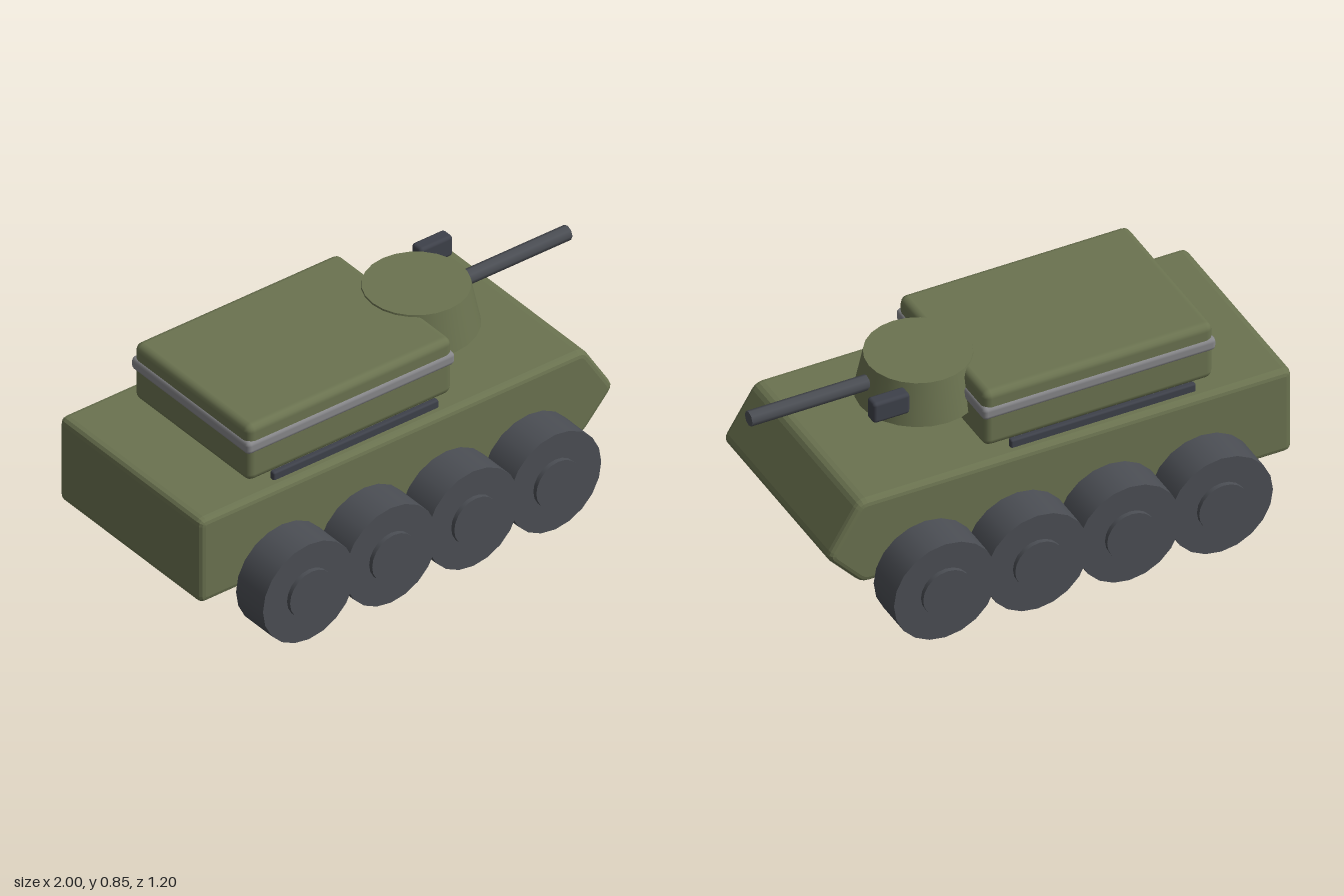
import * as THREE from 'three';
import { RoundedBoxGeometry } from 'three/addons/geometries/RoundedBoxGeometry.js';

const mat = (name, color) => {
  const m = new THREE.MeshStandardMaterial({ color });
  m.name = name;
  return m;
};

// Closed outline with each corner rounded by distance r
function roundedOutline(points, r) {
  const p = points.map(([x, y]) => new THREE.Vector2(x, y));
  const toward = (a, b) => a.clone().add(b.clone().sub(a).setLength(r));
  const shape = new THREE.Shape();
  p.forEach((c, i) => {
    const a = toward(c, p[(i + p.length - 1) % p.length]);
    const b = toward(c, p[(i + 1) % p.length]);
    if (i === 0) shape.moveTo(a.x, a.y);
    else shape.lineTo(a.x, a.y);
    shape.quadraticCurveTo(c.x, c.y, b.x, b.y);
  });
  shape.closePath();
  return shape;
}

export function createModel() {
  const olive = mat('olive paint', 0x6b7350);
  const rubber = mat('wheel grey', 0x4b4e54);
  const dark = mat('dark metal', 0x3e414a);
  const steel = mat('light steel', 0x87878a);
  const model = new THREE.Group();
  model.name = 'armouredVehicle';

  const add = (name, geometry, material, x, y, z) => {
    const mesh = new THREE.Mesh(geometry, material);
    mesh.name = name;
    mesh.position.set(x, y, z);
    model.add(mesh);
    return mesh;
  };

  // Hull: side profile with a wedge nose, extruded across the width
  const bevel = 0.025, halfWidth = 0.42;
  const profile = roundedOutline(
    [[-1, 0.22], [0.752, 0.22], [0.895, 0.375], [0.762, 0.59], [-1, 0.59]], 0.03);
  const hull = new THREE.ExtrudeGeometry(profile, {
    depth: 2 * (halfWidth - bevel), curveSegments: 3,
    bevelEnabled: true, bevelThickness: bevel, bevelSize: bevel,
    bevelOffset: -bevel, bevelSegments: 3,
  });
  add('hull', hull, olive, 0, 0, -(halfWidth - bevel));

  // Rear compartment with a steel band round it
  add('compartment', new RoundedBoxGeometry(0.935, 0.245, 0.685, 2, 0.03), olive, -0.253, 0.7175, 0);
  add('band', new RoundedBoxGeometry(0.95, 0.055, 0.7, 2, 0.018), steel, -0.253, 0.75, 0);

  // Turret, gun and sight
  add('turret', new THREE.CylinderGeometry(0.2, 0.235, 0.172, 24), olive, 0.31, 0.761, 0);
  const gun = add('gunBarrel', new THREE.CylinderGeometry(0.03, 0.03, 0.6, 8), rubber, 0.7, 0.775, 0);
  gun.rotation.z = -Math.PI / 2;
  add('sight', new RoundedBoxGeometry(0.15, 0.09, 0.058, 2, 0.014), dark, 0.527, 0.799, -0.188);

  // Rails, wheels and hubs on both sides
  const wheel = new THREE.CylinderGeometry(0.21, 0.21, 0.16, 20).rotateX(Math.PI / 2);
  const hub = new THREE.CylinderGeometry(0.1, 0.1, 0.05, 20).rotateX(Math.PI / 2);
  const rail = new RoundedBoxGeometry(0.755, 0.04, 0.025, 2, 0.008);
  for (const side of [1, -1]) {
    add('rail', rail, dark, -0.253, 0.603, side * 0.364);
    for (const x of [-0.627, -0.252, 0.123, 0.498]) {
      add('wheel', wheel, rubber, x, 0.21, side * 0.5);
      add('hub', hub, rubber, x, 0.21, side * 0.573);
    }
  }
  return model;
}
